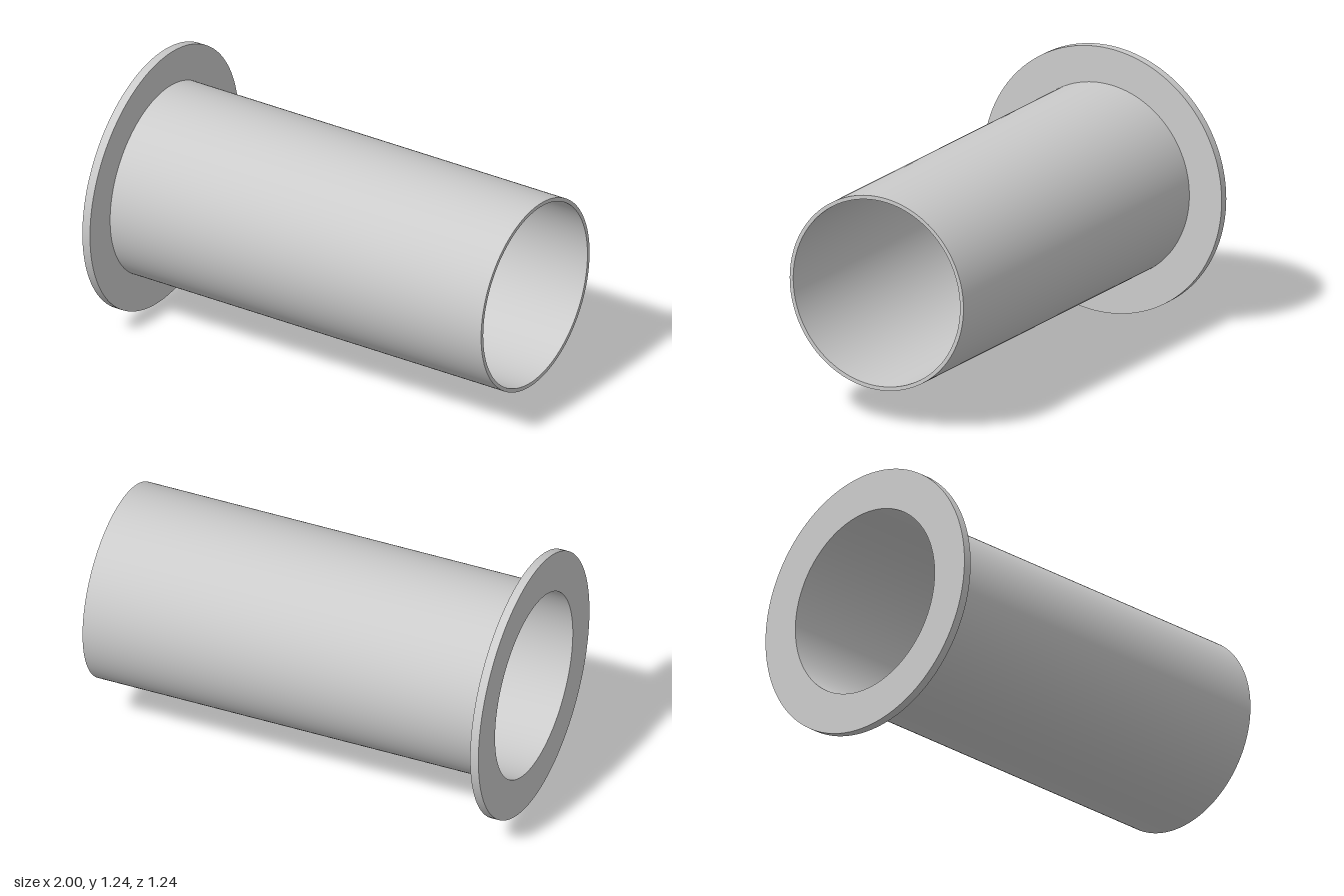
import * as THREE from 'three';
import { toCreasedNormals } from 'three/addons/utils/BufferGeometryUtils.js';

const FLANGE_R = 0.62, OUTER_R = 0.452, INNER_R = 0.434;
const FLANGE_END = -0.96;

export function createModel() {
  const group = new THREE.Group();
  group.name = 'flangedSleeve';

  // Closed L-shaped wall section (radius, position along the axis)
  const section = [
    [INNER_R, -1],
    [FLANGE_R, -1],
    [FLANGE_R, FLANGE_END],
    [OUTER_R, FLANGE_END],
    [OUTER_R, 1],
    [INNER_R, 1],
    [INNER_R, -1],
  ].map(([r, t]) => new THREE.Vector2(r, t));

  // Spin the section, keep the rims sharp, and lay the axis along x
  const geometry = toCreasedNormals(new THREE.LatheGeometry(section, 128), 0.5);
  geometry.rotateZ(-Math.PI / 2);
  geometry.translate(0, FLANGE_R, 0);

  const sleeve = new THREE.Mesh(geometry, new THREE.MeshStandardMaterial({ color: 0xcccccc }));
  sleeve.name = 'tubeWithFlange';
  group.add(sleeve);
  return group;
}
